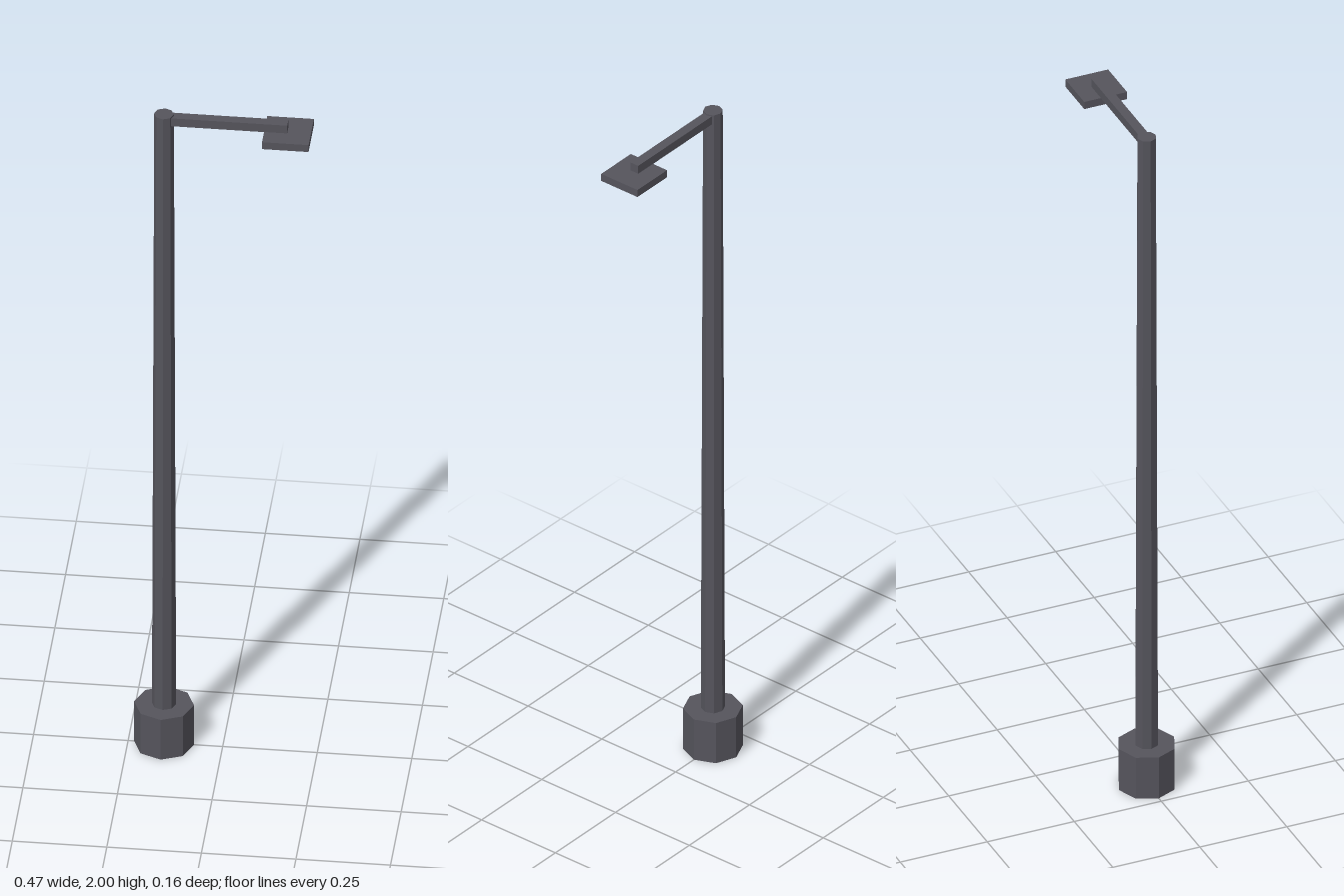
import * as THREE from 'three';

export function createModel() {
  const group = new THREE.Group();
  const metal = new THREE.MeshStandardMaterial({ color: 0x55545c, flatShading: true });
  const poleX = -0.155;

  const add = (name, geometry, x, y) => {
    const mesh = new THREE.Mesh(geometry, metal);
    mesh.name = name;
    mesh.position.set(x, y, 0);
    group.add(mesh);
  };

  // Octagonal footing
  add('base', new THREE.CylinderGeometry(0.079, 0.079, 0.126, 8), poleX, 0.063);
  // Slightly tapered octagonal pole, standing on the footing
  add('pole', new THREE.CylinderGeometry(0.026, 0.032, 1.874, 8), poleX, 1.063);
  // Horizontal arm, rooted inside the pole
  add('arm', new THREE.BoxGeometry(0.327, 0.025, 0.027), 0.0085, 1.984);
  // Flat square lamp under the end of the arm
  add('lampHead', new THREE.BoxGeometry(0.123, 0.022, 0.123), 0.1725, 1.961);

  return group;
}
